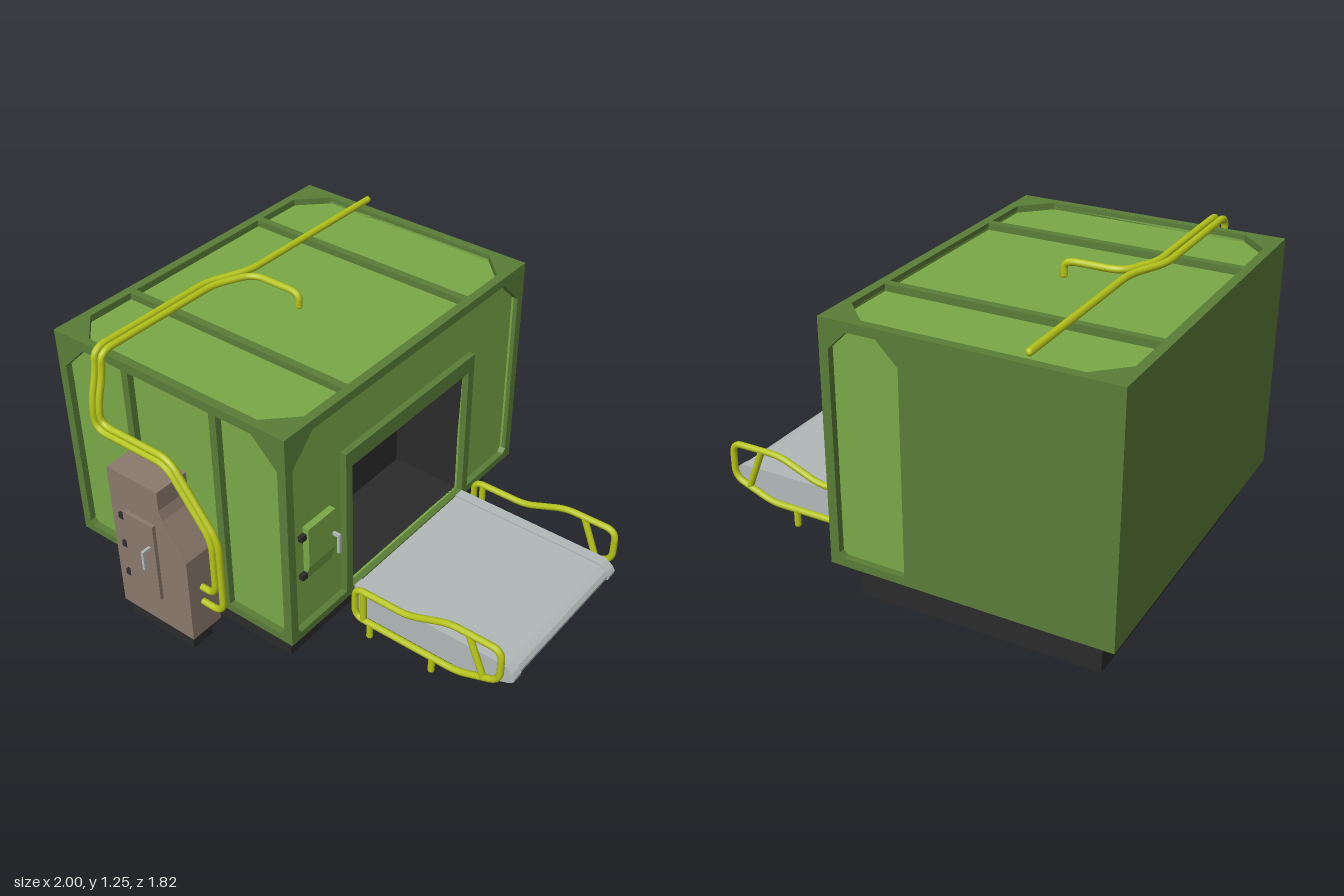
import * as THREE from 'three';

const mat = (name, color, side = THREE.FrontSide) => {
  const m = new THREE.MeshStandardMaterial({ color, side });
  m.name = name;
  return m;
};

export function createModel() {
  const root = new THREE.Group();
  root.name = 'shelter';
  const frameGreen = mat('frame green', 0x5a7d38);
  const panelGreen = mat('panel green', 0x7aa847);
  const pipeYellow = mat('pipe yellow green', 0xb5c41a);
  const boxBrown = mat('box brown', 0x8b796c);
  const metalGrey = mat('metal grey', 0xb2b8b8);
  const black = mat('black', 0x2b2b2b);

  const add = (name, geo, material, parent = root) => {
    const mesh = new THREE.Mesh(geo, material);
    mesh.name = name;
    parent.add(mesh);
    return mesh;
  };
  // box from its lower and upper limits
  const box = (name, material, x0, x1, y0, y1, z0, z1, parent) =>
    add(name, new THREE.BoxGeometry(x1 - x0, y1 - y0, z1 - z0), material, parent)
      .position.set((x0 + x1) / 2, (y0 + y1) / 2, (z0 + z1) / 2);
  const vecs = (pts) => pts.map(([x, y]) => new THREE.Vector2(x, y));
  const extrude = (outline, holes, depth) => {
    const shape = new THREE.Shape(vecs(outline));
    for (const h of holes) shape.holes.push(new THREE.Path(vecs(h)));
    return new THREE.ExtrudeGeometry(shape, { depth, bevelEnabled: false });
  };
  const rect = (x0, x1, y0, y1) => [[x0, y0], [x1, y0], [x1, y1], [x0, y1]];
  // rectangle with chamfers: bottom left, bottom right, top right, top left
  const cut = (x0, x1, y0, y1, bl, br, tr, tl) => {
    const pts = [];
    const corner = (x, y, c, ax, ay, bx, by) =>
      c ? pts.push([x + ax * c, y + ay * c], [x + bx * c, y + by * c]) : pts.push([x, y]);
    corner(x0, y0, bl, 0, 1, 1, 0);
    corner(x1, y0, br, -1, 0, 0, 1);
    corner(x1, y1, tr, 0, -1, -1, 0);
    corner(x0, y1, tl, 1, 0, 0, -1);
    return pts;
  };

  // rounded pipe through corner points
  const R = 0.015;
  const pipe = (name, pts, r, parent = root, closed = false) => {
    const p = pts.map((a) => new THREE.Vector3(...a));
    const n = p.length;
    const path = new THREE.CurvePath();
    const toward = (a, b) => a.clone().lerp(b, Math.min(0.48, r / a.distanceTo(b)));
    let from = closed ? toward(p[0], p[1]) : p[0];
    for (let i = 1; i < n + (closed ? 1 : -1); i++) {
      const c = p[i % n];
      const s = toward(c, p[(i - 1) % n]);
      const e = toward(c, p[(i + 1) % n]);
      path.add(new THREE.LineCurve3(from, s));
      path.add(new THREE.QuadraticBezierCurve3(s, c, e));
      from = e;
    }
    if (!closed) path.add(new THREE.LineCurve3(from, p[n - 1]));
    add(name, new THREE.TubeGeometry(path, n * 22, R, 10, false), pipeYellow, parent);
    if (!closed) {
      for (const q of [p[0], p[n - 1]]) {
        add(name + 'End', new THREE.SphereGeometry(R, 10, 6), pipeYellow, parent).position.copy(q);
      }
    }
  };

  // base and plain walls
  const D = 0.03;
  box('base', black, -0.92, 0.12, 0, 0.165, -0.83, 0.61);
  box('floor', frameGreen, -1, 0.2, 0.165, 0.185, -0.91, 0.69);
  box('plainSideWall', frameGreen, -1, -0.98, 0.165, 1.2, -0.91, 0.69);

  // framed faces: a frame with openings over a recessed panel plate
  const face = (name, outline, holes, through, place) => {
    const g = new THREE.Group();
    g.name = name;
    add('frame', extrude(outline, [...holes, ...through], D), frameGreen, g).position.z = -D;
    const xs = outline.map((p) => p[0]), ys = outline.map((p) => p[1]);
    const inner = rect(Math.min(...xs) + 0.02, Math.max(...xs) - 0.02,
      Math.min(...ys) + 0.02, Math.max(...ys) - 0.02);
    add('panel', extrude(inner, through, 0.01), panelGreen, g).position.z = -D - 0.01;
    place(g);
    root.add(g);
  };
  const C = 0.12;
  face('frontWall', rect(-1, 0.2, 0.165, 1.2), [
    cut(-0.96, -0.63, 0.2, 1.16, 0.02, 0, 0, C),
    cut(-0.595, -0.17, 0.2, 1.16, 0, 0, 0, 0),
    cut(-0.135, 0.16, 0.2, 1.16, 0, 0.02, C, 0),
  ], [], (g) => { g.position.z = 0.69; });
  face('backWall', rect(-0.2, 1, 0.165, 1.2), [
    cut(-0.16, 0.135, 0.2, 1.16, 0.02, 0, 0.09, 0.08),
  ], [], (g) => { g.rotation.y = Math.PI; g.position.z = -0.91; });
  face('roof', rect(-1, 0.2, -0.69, 0.91), [
    cut(-0.96, 0.16, 0.53, 0.87, 0, 0, C, C),
    cut(-0.96, 0.16, -0.27, 0.495, 0, 0, 0, 0),
    cut(-0.96, 0.16, -0.65, -0.305, C, C, 0, 0),
  ], [], (g) => { g.rotation.x = -Math.PI / 2; g.position.y = 1.2; });
  const opening = rect(-0.295, 0.51, 0.2, 0.845);
  face('doorWall', rect(-0.69, 0.91, 0.165, 1.2), [
    [[-0.63, 0.2], [-0.335, 0.2], [-0.335, 0.92], [0.55, 0.92], [0.55, 0.2], [0.85, 0.2],
      [0.87, 0.22], [0.87, 1.04], [0.75, 1.16], [-0.53, 1.16], [-0.65, 1.04], [-0.65, 0.22]],
  ], [opening], (g) => { g.rotation.y = Math.PI / 2; g.position.x = 0.2; });

  // dark room behind the doorway
  const room = add('roomWalls', extrude(rect(-0.31, 0.525, 0.187, 0.86), [opening], 0.345), black);
  room.rotation.y = Math.PI / 2;
  room.position.x = -0.175;
  box('roomBack', black, -0.19, -0.17, 0.187, 0.86, -0.525, 0.31);

  // small hatch beside the doorway
  const hatch = new THREE.Group();
  hatch.name = 'hatch';
  root.add(hatch);
  add('hatchDoor', extrude([[0.16, 0.42], [0.172, 0.42], [0.2, 0.505], [0.2, 0.7], [0.16, 0.7]], [], 0.165),
    panelGreen, hatch).position.z = 0.405;
  for (const y of [0.66, 0.46]) box('hatchHinge', black, 0.165, 0.19, y - 0.013, y + 0.013, 0.57, 0.6, hatch);
  box('hatchHandleArm', metalGrey, 0.195, 0.235, 0.575, 0.59, 0.413, 0.425, hatch);
  box('hatchHandle', metalGrey, 0.222, 0.235, 0.495, 0.59, 0.413, 0.425, hatch);

  // equipment box on the front
  const cabinet = new THREE.Group();
  cabinet.name = 'equipmentBox';
  root.add(cabinet);
  add('boxBody', extrude([[-0.6, 0.08], [-0.2, 0.08], [-0.2, 0.5], [-0.31, 0.665], [-0.325, 0.71],
    [-0.325, 0.8], [-0.6, 0.8]], [], 0.165), boxBrown, cabinet).position.z = 0.685;
  box('boxFoot', black, -0.585, -0.225, 0, 0.08, 0.715, 0.83, cabinet);
  box('boxDoor', boxBrown, -0.52, -0.355, 0.225, 0.62, 0.85, 0.867, cabinet);
  for (const y of [0.58, 0.43, 0.275]) box('boxHinge', black, -0.553, -0.52, y - 0.013, y + 0.013, 0.848, 0.862, cabinet);
  box('boxHandleArm', metalGrey, -0.39, -0.378, 0.49, 0.505, 0.865, 0.91, cabinet);
  box('boxHandle', metalGrey, -0.39, -0.378, 0.41, 0.505, 0.897, 0.91, cabinet);

  // ramp: slightly sunken deck between two side beams
  const rampProfile = (d) => [[0.2, 0.05 + d], [0.78, 0.05 + d], [0.83, 0.06 + d], [0.975 - d, 0.118 + d],
    [0.995 - d, 0.135], [0.998 - d, 0.155], [0.985 - d, 0.175], [0.955 - d, 0.195 - d], [0.93 - d, 0.2 - d], [0.2, 0.2 - d]];
  add('rampDeck', extrude(rampProfile(0.007), [], 0.7), metalGrey).position.z = -0.462;
  for (const z of [-0.51, 0.235]) add('rampBeam', extrude(rampProfile(0), [], 0.05), metalGrey).position.z = z;

  // railings on both sides of the ramp
  for (const z of [0.333, -0.552]) {
    const rail = new THREE.Group();
    rail.name = 'railing';
    rail.position.z = z;
    root.add(rail);
    pipe('railLoop', [[0.4, 0.085, 0], [0.24, 0.085, 0], [0.24, 0.245, 0], [0.51, 0.245, 0], [0.71, 0.325, 0],
      [0.957, 0.325, 0], [0.957, 0.16, 0], [0.76, 0.085, 0]], 0.05, rail, true);
    pipe('railPost', [[0.285, 0.085, 0], [0.285, 0.245, 0]], 0, rail);
    pipe('railBrace', [[0.805, 0.32, 0], [0.88, 0.135, 0]], 0, rail);
    for (const x of [0.318, 0.635]) pipe('railLeg', [[x, R, 0], [x, 0.085, 0]], 0, rail);
  }

  // pipes from the roof, down the front and into the equipment box
  const T = 1.24, F = 0.775;
  pipe('longPipe', [[-0.645, T, -0.897], [-0.645, T, -0.09], [-0.722, T, 0.09], [-0.722, T, 0.73],
    [-0.722, 1.15, 0.735], [-0.722, 1.02, F], [-0.722, 0.885, F], [-0.335, 0.885, F],
    [-0.123, 0.61, F], [-0.123, 0.325, F], [-0.205, 0.325, F]], 0.06);
  pipe('shortPipe', [[-0.365, 1.18, -0.072], [-0.365, T, -0.072], [-0.61, T, -0.072], [-0.685, T, 0.09],
    [-0.685, T, 0.73], [-0.685, 1.15, 0.735], [-0.685, 1.02, F], [-0.685, 0.922, F], [-0.315, 0.922, F],
    [-0.087, 0.625, F], [-0.087, 0.245, F], [-0.205, 0.245, F]], 0.06);

  return root;
}
